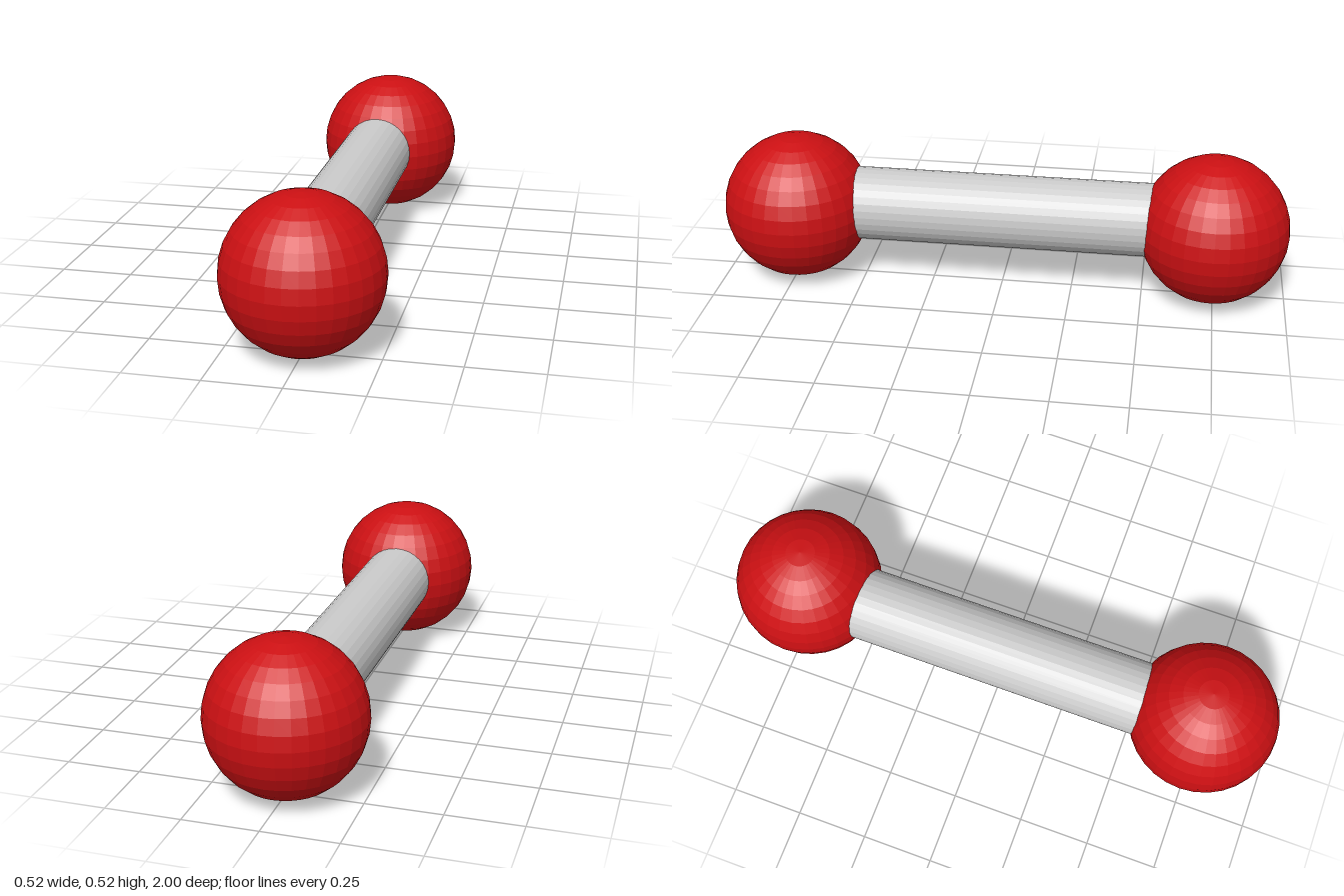
import * as THREE from 'three';

export function createModel() {
  const group = new THREE.Group();
  const red = new THREE.MeshStandardMaterial({ color: 0xcc1013, flatShading: true });
  const grey = new THREE.MeshStandardMaterial({ color: 0xcccccc, flatShading: true });

  // Ball at each end
  const radius = 0.26, offset = 0.74;
  const ballGeometry = new THREE.SphereGeometry(radius, 32, 16);
  for (const [name, side] of [['frontBall', 1], ['backBall', -1]]) {
    const ball = new THREE.Mesh(ballGeometry, red);
    ball.name = name;
    ball.position.set(0, radius, side * offset);
    group.add(ball);
  }

  // Connecting rod, slightly off-axis, running into both balls
  const rod = new THREE.Mesh(new THREE.CylinderGeometry(0.129, 0.129, 2 * offset, 32), grey);
  rod.name = 'rod';
  rod.rotation.x = Math.PI / 2;
  rod.position.set(-0.013, 0.272, 0);
  group.add(rod);

  return group;
}
